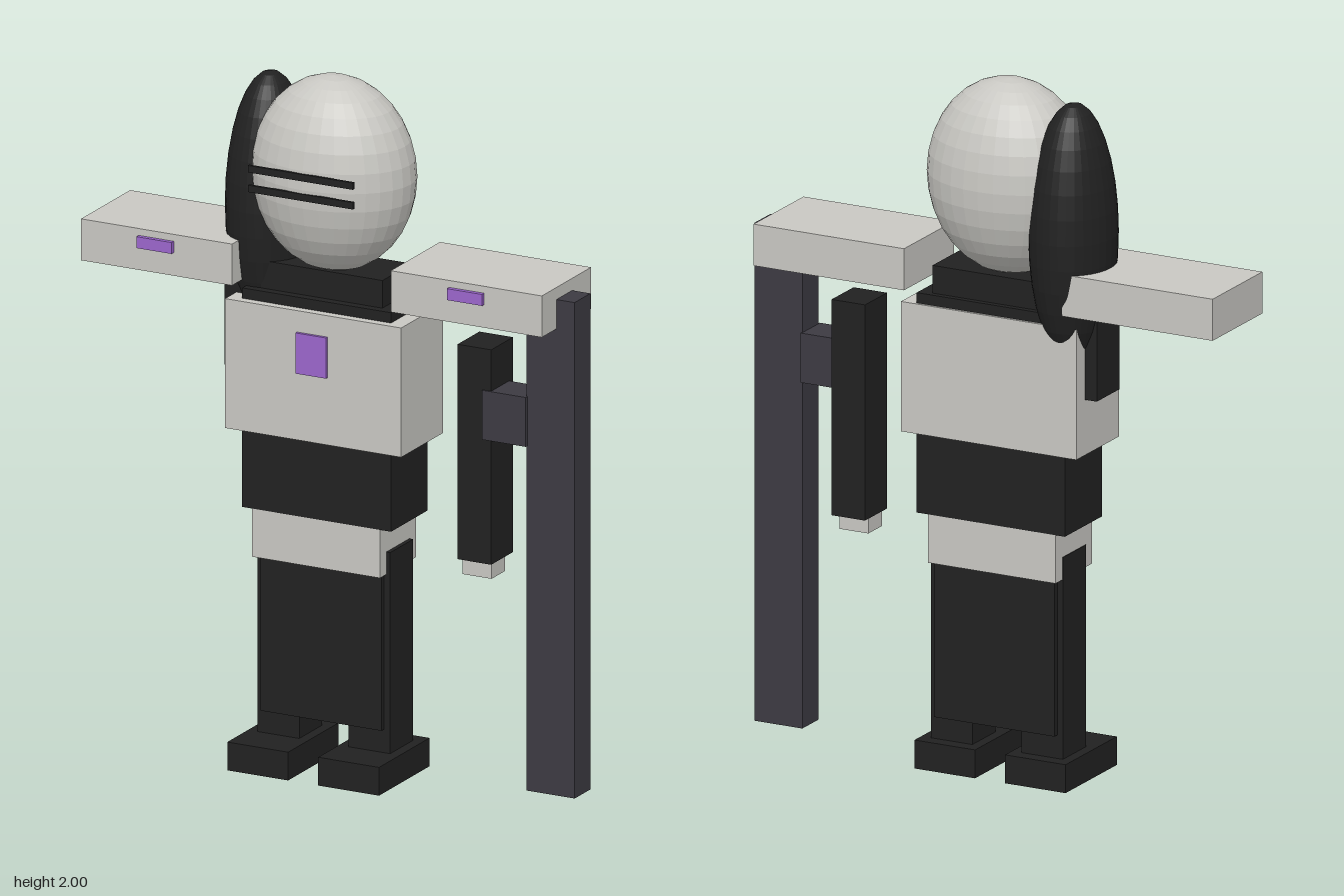
import * as THREE from 'three';

export function createModel() {
  const model = new THREE.Group();
  model.name = 'armouredFigure';

  const mat = (name, color, flatShading = false) => {
    const m = new THREE.MeshStandardMaterial({ color, flatShading });
    m.name = name;
    return m;
  };
  const armour = mat('paleGreyArmour', 0xc8c7c2, true);
  const cloth = mat('blackCloth', 0x212121, true);
  const metal = mat('darkSlateMetal', 0x3c3a42, true);
  const purple = mat('purpleBadge', 0x9b66cc, true);

  // Box given by its limits on each axis
  const box = (name, material, [x0, x1], [y0, y1], [z0, z1]) => {
    const mesh = new THREE.Mesh(new THREE.BoxGeometry(x1 - x0, y1 - y0, z1 - z0), material);
    mesh.position.set((x0 + x1) / 2, (y0 + y1) / 2, (z0 + z1) / 2);
    mesh.name = name;
    model.add(mesh);
  };
  const ellipsoid = (name, material, centre, radii) => {
    const mesh = new THREE.Mesh(new THREE.SphereGeometry(1, 32, 16), material);
    mesh.position.set(...centre);
    mesh.scale.set(...radii);
    mesh.name = name;
    model.add(mesh);
  };

  // The body is mirrored about this line
  const mid = -0.03;
  const span = (side, a, b) => [mid + side * a, mid + side * b].sort((p, q) => p - q);

  // Head, hair and visor slits
  ellipsoid('head', armour, [mid, 1.72, -0.003], [0.24, 0.28, 0.187]);
  ellipsoid('hair', cloth, [-0.25, 1.595, -0.04], [0.12, 0.375, 0.14]);
  for (const y of [1.70, 1.757]) {
    box('visorSlit', cloth, [-0.198, 0.13], [y - 0.01, y + 0.01], [0.178, 0.187]);
  }

  // Trunk
  box('neck', cloth, [-0.22, 0.16], [1.3, 1.455], [-0.1, 0.07]);
  box('innerTorso', cloth, [-0.265, 0.2], [0.74, 1.375], [-0.117, 0.095]);
  box('chestArmour', armour, [-0.305, 0.245], [0.97, 1.345], [-0.125, 0.12]);
  box('chestBadge', purple, [-0.08, 0.015], [1.165, 1.283], [0.12, 0.129]);
  box('belt', armour, [-0.235, 0.165], [0.6, 0.76], [-0.116, 0.094]);
  box('skirt', cloth, [-0.22, 0.158], [0.15, 0.62], [-0.095, 0.073]);

  // Outstretched arm plates, legs and feet
  for (const side of [-1, 1]) {
    const label = side > 0 ? 'left' : 'right';
    box(label + 'ShoulderPlate', armour, span(side, 0.248, 0.72), [1.39, 1.51], [-0.157, 0.13]);
    box(label + 'ShoulderBadge', purple, span(side, 0.43, 0.54), [1.457, 1.49], [0.13, 0.143]);
    box(label + 'Leg', cloth, span(side, 0.077, 0.207), [0.06, 0.665], [-0.077, 0.057]);
    box(label + 'Foot', cloth, span(side, 0.047, 0.237), [0, 0.082], [-0.117, 0.178]);
  }

  // Lower arms and hand
  box('rightForearm', cloth, [-0.342, -0.24], [1.13, 1.42], [-0.075, 0.055]);
  box('leftForearm', cloth, [0.385, 0.49], [0.677, 1.3], [-0.075, 0.052]);
  box('leftHand', armour, [0.392, 0.482], [0.63, 0.68], [-0.043, 0.035]);

  // Long staff with its side grip
  box('staff', metal, [0.597, 0.747], [0.037, 1.475], [-0.047, 0.045]);
  box('staffGrip', metal, [0.463, 0.6], [1.037, 1.18], [-0.052, 0.056]);

  return model;
}
